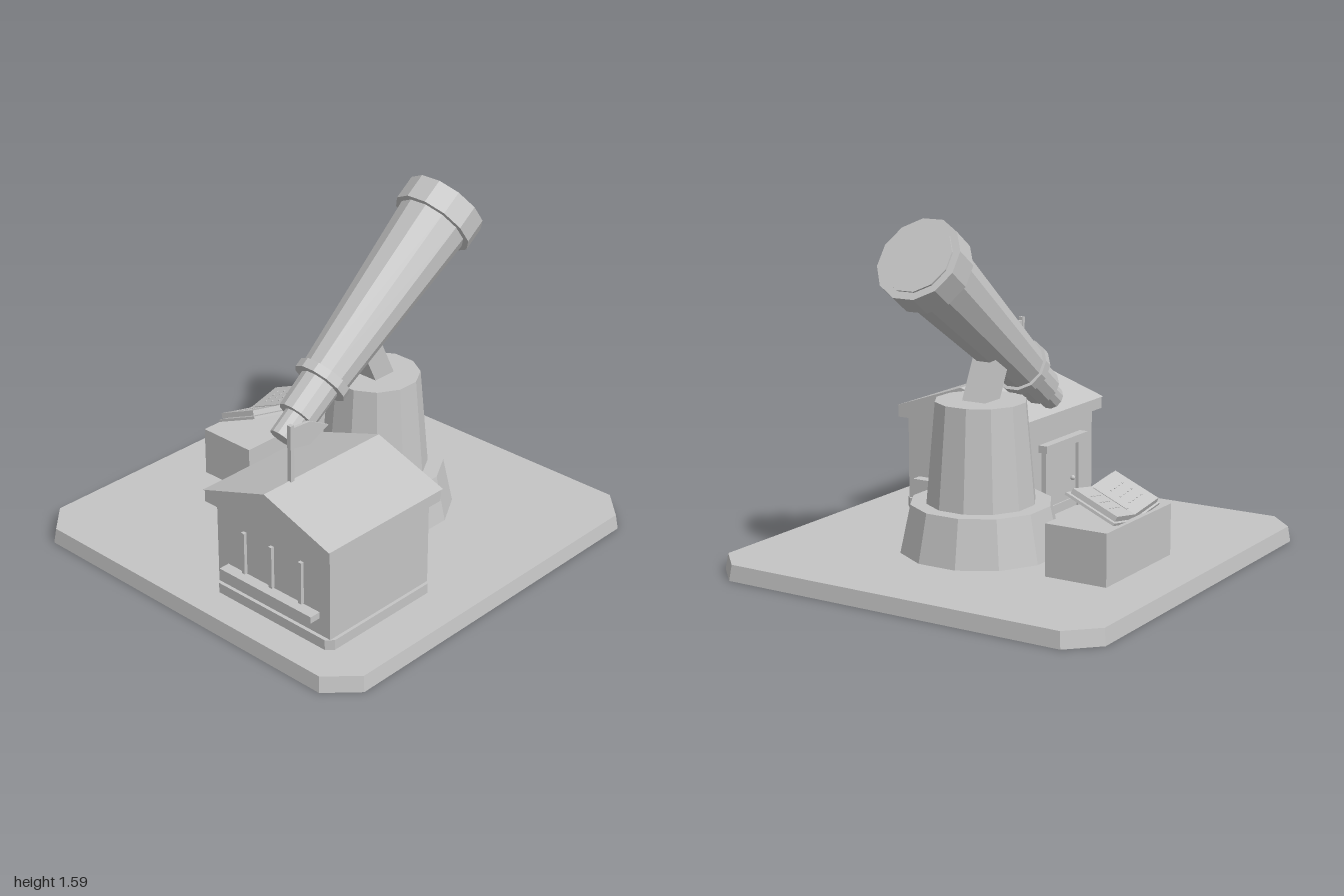
import * as THREE from 'three';

export function createModel() {
  const model = new THREE.Group();
  const stone = new THREE.MeshStandardMaterial({ color: 0xc4c4c4, flatShading: true, side: THREE.DoubleSide });
  stone.name = 'plainGrey';

  const add = (name, geo, parent = model, pos = [0, 0, 0]) => {
    const m = new THREE.Mesh(geo, stone);
    m.name = name;
    m.position.set(...pos);
    parent.add(m);
    return m;
  };
  // box given by its limits on each axis
  const block = (name, x0, x1, y0, y1, z0, z1, parent = model) =>
    add(name, new THREE.BoxGeometry(x1 - x0, y1 - y0, z1 - z0), parent,
      [(x0 + x1) / 2, (y0 + y1) / 2, (z0 + z1) / 2]);
  // twelve-sided drum measured across its flats
  const drum = (name, rTop, rBottom, y0, y1, parent) => {
    const k = 1 / Math.cos(Math.PI / 12);
    return add(name, new THREE.CylinderGeometry(rTop * k, rBottom * k, y1 - y0, 12, 1, false, Math.PI / 12),
      parent, [0, (y0 + y1) / 2, 0]);
  };
  const group = (name, x, y, z, parent = model) => {
    const g = new THREE.Group();
    g.name = name;
    g.position.set(x, y, z);
    parent.add(g);
    return g;
  };
  // rectangle with cut corners
  const cutRect = (hx, hz, cx, cz, Kind = THREE.Shape) => {
    const s = new Kind();
    s.setFromPoints([[hx, -hz + cz], [hx, hz - cz], [hx - cx, hz], [-hx + cx, hz],
      [-hx, hz - cz], [-hx, -hz + cz], [-hx + cx, -hz], [hx - cx, -hz]]
      .map(([x, y]) => new THREE.Vector2(x, y)));
    return s;
  };

  // base: a shallow tray, hollow underneath, with slightly leaning sides
  const outline = cutRect(1, 0.97, 0.13, 0.13).getPoints().slice(0, 8);
  const rim = [];
  outline.forEach((a, i) => {
    const b = outline[(i + 1) % 8], s = 0.99, h = 0.072;
    const A = [a.x, 0, a.y], B = [b.x, 0, b.y], C = [b.x * s, h, b.y * s], D = [a.x * s, h, a.y * s];
    rim.push(...A, ...D, ...B, ...B, ...D, ...C, ...D, 0, h, 0, ...C);
  });
  const baseGeo = new THREE.BufferGeometry();
  baseGeo.setAttribute('position', new THREE.Float32BufferAttribute(rim, 3));
  baseGeo.computeVertexNormals();
  add('base', baseGeo);

  // pedestal
  const pedestal = group('pedestal', 0.19, 0, 0.057);
  drum('pedestalFoot', 0.31, 0.355, 0.072, 0.29, pedestal);
  drum('pedestalColumn', 0.2, 0.24, 0.29, 0.75, pedestal);
  const yoke = add('yoke', new THREE.BoxGeometry(0.11, 0.34, 0.12), model, [0.15, 0.83, 0.057]);
  yoke.rotation.z = 0.45;

  // telescope, built along its own axis with the wide end at zero
  const scope = group('telescope', 0.66, 1.432, 0.057);
  scope.rotation.z = -THREE.MathUtils.degToRad(54);
  drum('frontCap', 0.19, 0.19, -0.12, 0, scope);
  drum('lens', 0.157, 0.157, -0.02, 0.008, scope);
  drum('mainTube', 0.165, 0.11, -1.0, -0.1, scope);
  drum('collar', 0.126, 0.126, -1.03, -0.985, scope);
  drum('drawTube', 0.092, 0.088, -1.21, -1.0, scope);
  drum('eyepiece', 0.056, 0.056, -1.33, -1.2, scope);

  // house
  const house = group('house', -0.518, 0, 0.405);
  block('walls', -0.305, 0.305, 0.073, 0.53, -0.33, 0.33, house);
  const plinth = cutRect(0.322, 0.345, 0.03, 0.03);
  plinth.holes.push(cutRect(0.29, 0.313, 0.025, 0.025, THREE.Path));
  const plinthGeo = new THREE.ExtrudeGeometry(plinth, { depth: 0.08, bevelEnabled: false });
  plinthGeo.rotateX(-Math.PI / 2);
  add('plinth', plinthGeo, house, [0, 0.04, 0]);
  block('eaveBand', -0.343, 0.343, 0.52, 0.577, -0.362, 0.362, house);
  const gable = new THREE.Shape([[-0.367, 0.577], [0.367, 0.577], [0, 0.702]]
    .map(([x, y]) => new THREE.Vector2(x, y)));
  const roofGeo = new THREE.ExtrudeGeometry(gable, { depth: 0.7, bevelEnabled: false });
  roofGeo.rotateY(Math.PI / 2);
  add('roof', roofGeo, house, [-0.35, 0, 0]);

  // window bars and a bench on each side wall
  for (const side of [-1, 1]) {
    for (const z of [-0.162, 0, 0.172]) {
      add('windowBar', new THREE.BoxGeometry(0.016, 0.2, 0.018), house, [side * 0.314, 0.335, z]);
    }
    add('bench', new THREE.BoxGeometry(0.06, 0.03, 0.54), house, [side * 0.328, 0.215, 0]);
  }

  // door on the back wall
  block('door', -0.14, 0.14, 0.073, 0.4, -0.338, -0.32, house);
  for (const side of [-1, 1]) {
    add('doorPost', new THREE.BoxGeometry(0.025, 0.33, 0.035), house, [side * 0.15, 0.238, -0.337]);
  }
  block('lintel', -0.19, 0.19, 0.4, 0.435, -0.375, -0.32, house);
  add('doorKnob', new THREE.SphereGeometry(0.013, 8, 6), house, [-0.1, 0.22, -0.345]);
  block('doorStep', -0.18, 0.18, 0.02, 0.076, -0.43, -0.345, house);

  // flag on the ridge
  block('flagPole', -0.2, -0.18, 0.68, 0.96, -0.01, 0.01, house);
  const pennant = new THREE.Shape([[0, 0.945], [0.1, 0.938], [0.21, 0.88], [0.1, 0.83], [0, 0.85]]
    .map(([x, y]) => new THREE.Vector2(x, y)));
  add('flag', new THREE.ExtrudeGeometry(pennant, { depth: 0.014, bevelEnabled: false }), house, [-0.182, 0, -0.007]);

  // table with an open book leaning toward the back
  block('table', -0.163, 0.41, 0.072, 0.307, -0.71, -0.41);
  const book = group('book', 0.125, 0.345, -0.565);
  book.rotation.x = -0.41;
  for (const side of [-1, 1]) {
    const half = group('bookHalf', 0, 0, 0, book);
    half.rotation.z = side * 0.2;
    add('cover', new THREE.BoxGeometry(0.205, 0.012, 0.26), half, [side * 0.102, -0.008, 0]);
    add('pages', new THREE.BoxGeometry(0.19, 0.024, 0.235), half, [side * 0.097, 0.014, -0.005]);
    // faint dashes on the page
    for (let row = 0; row < 3; row++) {
      for (let col = 0; col < 4; col++) {
        add('dash', new THREE.BoxGeometry(0.012, 0.003, 0.005), half,
          [side * (0.055 + col * 0.03), 0.027, -0.06 + row * 0.05]);
      }
    }
  }
  add('bookmark', new THREE.BoxGeometry(0.018, 0.006, 0.18), book, [0, 0.028, 0.01]);

  return model;
}
